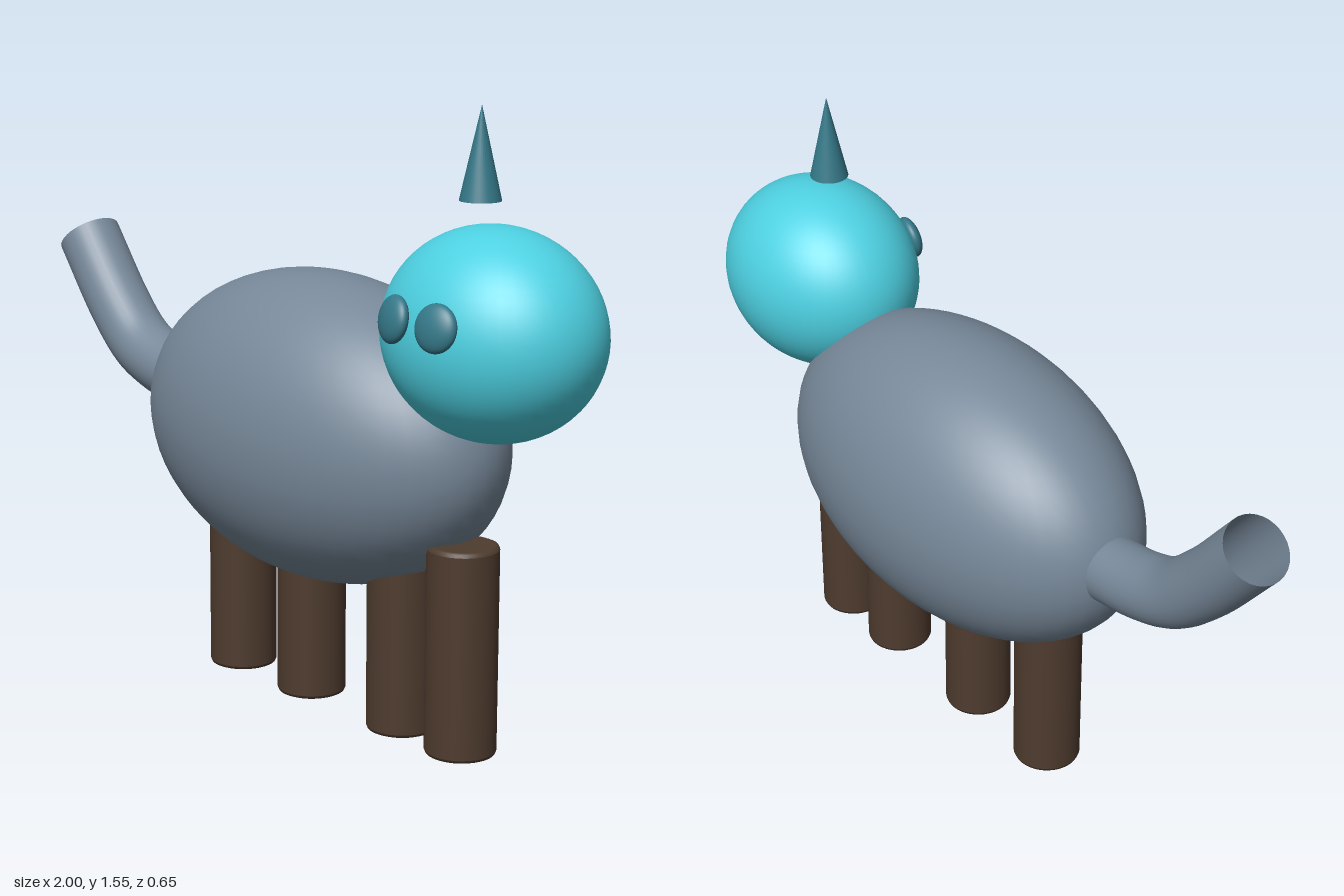
import * as THREE from 'three';

export function createModel() {
  const model = new THREE.Group();
  const mat = (color, side = THREE.FrontSide) => new THREE.MeshStandardMaterial({ color, side });
  const slate = 0x778899, cyan = 0x4dd0e1, brown = 0x4e3b2e, teal = 0x357888;

  function add(name, geometry, material, x = 0, y = 0, z = 0) {
    const mesh = new THREE.Mesh(geometry, material);
    mesh.name = name;
    mesh.position.set(x, y, z);
    model.add(mesh);
    return mesh;
  }
  const ellipsoid = (rx, ry, rz) => new THREE.SphereGeometry(1, 48, 32).scale(rx, ry, rz);

  // Body and head
  add('body', ellipsoid(0.59, 0.387, 0.325), mat(slate), 0.1, 0.709, 0);
  add('head', ellipsoid(0.287, 0.25, 0.238), mat(cyan), 0.711, 1.034, 0);

  // Flattened eyes lying on the front of the head
  const eyeMat = mat(teal);
  [['rightEye', 0.632, 0.232], ['leftEye', 0.772, 0.23]].forEach(([name, x, z]) => {
    const eye = add(name, ellipsoid(0.056, 0.056, 0.025), eyeMat, x, 1.084, z);
    const normal = new THREE.Vector3((x - 0.711) / 0.287 ** 2, 0.05 / 0.25 ** 2, z / 0.238 ** 2);
    eye.quaternion.setFromUnitVectors(new THREE.Vector3(0, 0, 1), normal.normalize());
  });

  // Horn floating above the head
  add('horn', new THREE.ConeGeometry(0.049, 0.217, 32), mat(teal), 0.66, 1.4415, 0);

  // Four legs in a row, with slightly softened rims
  const r = 0.087, h = 0.517, b = 0.01;
  const profile = [[0, 0], [r - b, 0], [r - b, 0], [r - 0.003, 0.003], [r, b], [r, b],
    [r, h - b], [r, h - b], [r - 0.003, h - 0.003], [r - b, h], [r - b, h], [0, h]]
    .map(([x, y]) => new THREE.Vector2(x, y));
  const legGeo = new THREE.LatheGeometry(profile, 40);
  const legMat = mat(brown);
  [-0.235, 0.053, 0.405, 0.62].forEach((x, i) => add('leg' + (i + 1), legGeo, legMat, x, 0, 0));

  // Open-ended curved tail
  const path = new THREE.CatmullRomCurve3([
    [-0.3, 0.71], [-0.45, 0.727], [-0.59, 0.75], [-0.69, 0.79], [-0.79, 0.878], [-0.937, 1.054],
  ].map(([x, y]) => new THREE.Vector3(x, y, 0)));
  add('tail', new THREE.TubeGeometry(path, 32, 0.085, 32), mat(slate, THREE.DoubleSide));

  return model;
}
